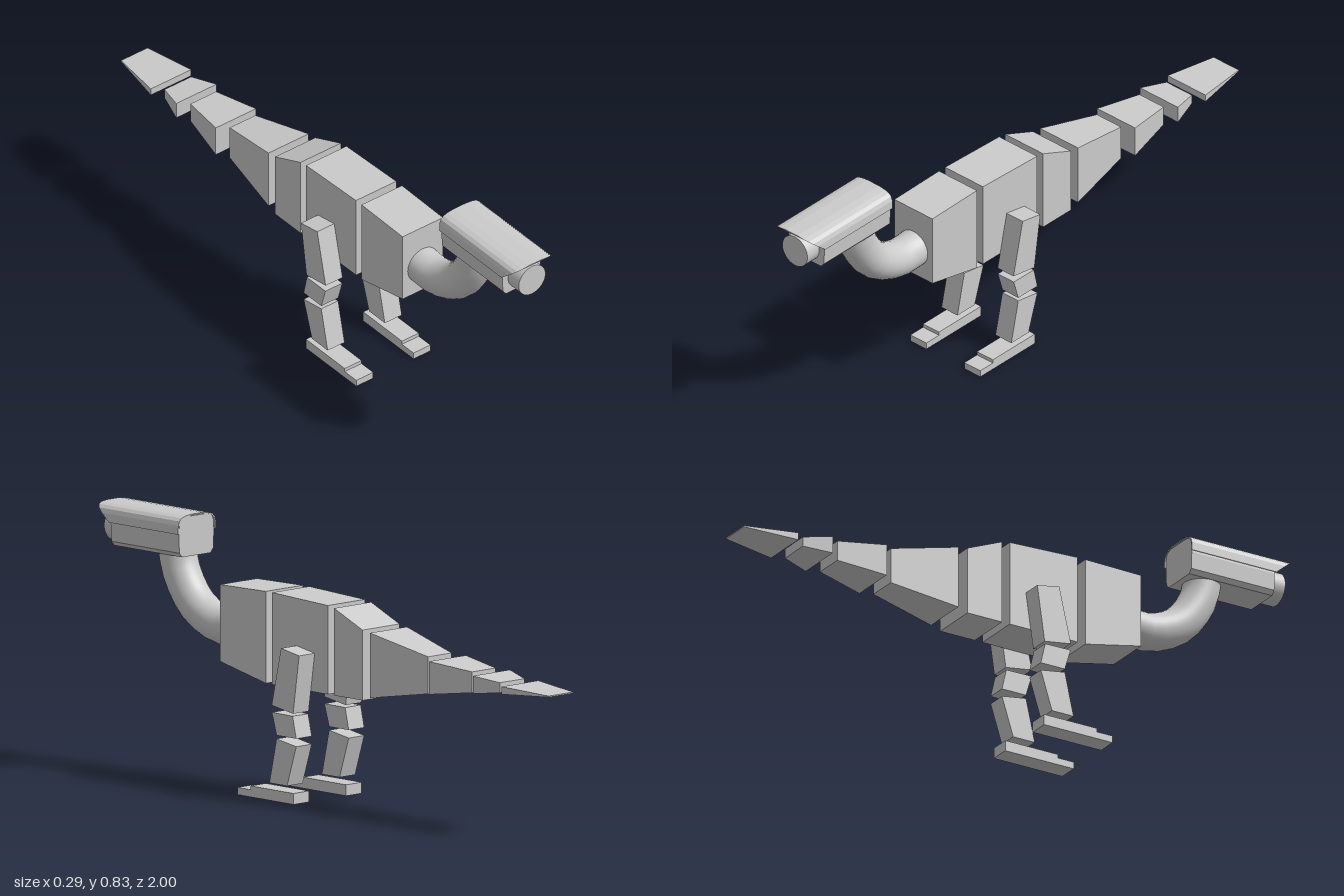
import * as THREE from 'three';

const flat = new THREE.MeshStandardMaterial({ color: 0xcccccc, flatShading: true });
const smooth = new THREE.MeshStandardMaterial({ color: 0xcccccc });
const shell = new THREE.MeshStandardMaterial({ color: 0xcccccc, flatShading: true, side: THREE.DoubleSide });

function add(parent, name, geometry, material) {
  const mesh = new THREE.Mesh(geometry, material);
  mesh.name = name;
  parent.add(mesh);
  return mesh;
}

// Six-sided block from a [z, y] side outline (front top, back top, back bottom,
// front bottom), centred on cx, with half-widths for its front and back ends.
function block([ft, bt, bb, fb], cx, frontHalf, backHalf = frontHalf) {
  const g = new THREE.BoxGeometry(2, 2, 2);
  const p = g.attributes.position;
  for (let i = 0; i < p.count; i++) {
    const front = p.getZ(i) > 0, top = p.getY(i) > 0;
    const [z, y] = front ? (top ? ft : fb) : (top ? bt : bb);
    p.setXYZ(i, cx + p.getX(i) * (front ? frontHalf : backHalf), y, z);
  }
  g.computeVertexNormals();
  return g;
}

// Symmetric outline in x/y, given the points of its +x half from bottom to top
function mirrored(half) {
  const left = half.map(([x, y]) => [-x, y]).reverse();
  return [...half, ...left].map(([x, y]) => new THREE.Vector2(x, y));
}

function extrudeZ(points, z0, z1, steps = 1) {
  const g = new THREE.ExtrudeGeometry(new THREE.Shape(points), { depth: z1 - z0, bevelEnabled: false, steps });
  return g.translate(0, 0, z0);
}

export function createModel() {
  const model = new THREE.Group();
  model.name = 'cameraDinosaur';

  // Torso and tail: z front, z back, top/bottom at front, top/bottom at back, back half-width
  const spine = [
    ['chest', 0.44, 0.235, 0.636, 0.394, 0.64, 0.35, 0.08],
    ['belly', 0.207, -0.042, 0.64, 0.35, 0.63, 0.35, 0.08],
    ['hips', -0.07, -0.197, 0.625, 0.35, 0.572, 0.35, 0.08],
    ['tailBase', -0.23, -0.46, 0.567, 0.362, 0.517, 0.4, 0.051],
    ['tailMiddle', -0.493, -0.656, 0.51, 0.406, 0.494, 0.428, 0.051],
    ['tailRear', -0.69, -0.783, 0.489, 0.433, 0.476, 0.444, 0.053],
    ['tailTip', -0.817, -1, 0.471, 0.447, 0.461, 0.457, 0.053],
  ];
  for (const [name, zf, zb, tf, bf, tb, bb, w] of spine)
    add(model, name, block([[zf, tf], [zb, tb], [zb, bb], [zf, bf]], 0, 0.08, w), flat);

  // Legs
  for (const [side, s] of [['left', 1], ['right', -1]]) {
    const leg = new THREE.Group();
    leg.name = side + 'Leg';
    const cx = s * 0.1135, w = 0.0335;
    add(leg, side + 'Thigh', block([[0.098, 0.486], [0.017, 0.472], [0.044, 0.286], [0.14, 0.301]], cx, w), flat);
    add(leg, side + 'Knee', block([[0.139, 0.279], [0.046, 0.278], [0.03, 0.209], [0.118, 0.209]], cx, w), flat);
    add(leg, side + 'Shin', block([[0.118, 0.198], [0.03, 0.184], [0.071, 0.055], [0.15, 0.055]], cx, w), flat);
    add(leg, side + 'Foot', block([[0.235, 0.035], [0.042, 0.035], [0.042, 0], [0.235, 0]], cx, w), flat);
    add(leg, side + 'Toe', block([[0.293, 0.023], [0.235, 0.023], [0.235, 0], [0.293, 0]], cx, w), flat);
    model.add(leg);
  }

  // Curved neck
  const neckPath = new THREE.CatmullRomCurve3([
    [0.494, 0.42], [0.492, 0.52], [0.542, 0.625], [0.64, 0.695], [0.72, 0.715],
  ].map(([y, z]) => new THREE.Vector3(0, y, z)));
  add(model, 'neck', new THREE.TubeGeometry(neckPath, 10, 0.06, 32), smooth);

  // Camera head: housing, lens and sun hood
  const head = new THREE.Group();
  head.name = 'head';
  const housing = mirrored([[0.061, 0.696], [0.073, 0.71], [0.076, 0.765], [0.073, 0.8], [0.066, 0.817], [0.045, 0.822]]);
  add(head, 'housing', extrudeZ(housing, 0.628, 0.932), flat);

  const lens = new THREE.CylinderGeometry(0.053, 0.053, 0.075, 40).rotateX(Math.PI / 2);
  add(head, 'lens', lens, smooth).position.set(0, 0.752, 0.948);

  const outer = mirrored([[0.082, 0.77], [0.081, 0.797], [0.076, 0.811], [0.066, 0.82], [0.05, 0.825], [0.025, 0.828]]);
  const inner = mirrored([[0.079, 0.77], [0.077, 0.795], [0.072, 0.808], [0.064, 0.816], [0.049, 0.821], [0.025, 0.824]]);
  const hood = extrudeZ([...outer, ...inner.reverse()], 0.625, 1);
  // Slant the front edge of the hood back toward its lower corners
  const p = hood.attributes.position;
  for (let i = 0; i < p.count; i++)
    if (p.getZ(i) > 0.9) p.setZ(i, 1 - 0.065 * THREE.MathUtils.clamp((0.824 - p.getY(i)) / 0.054, 0, 1));
  hood.computeVertexNormals();
  add(head, 'sunHood', hood, shell);
  model.add(head);

  return model;
}
